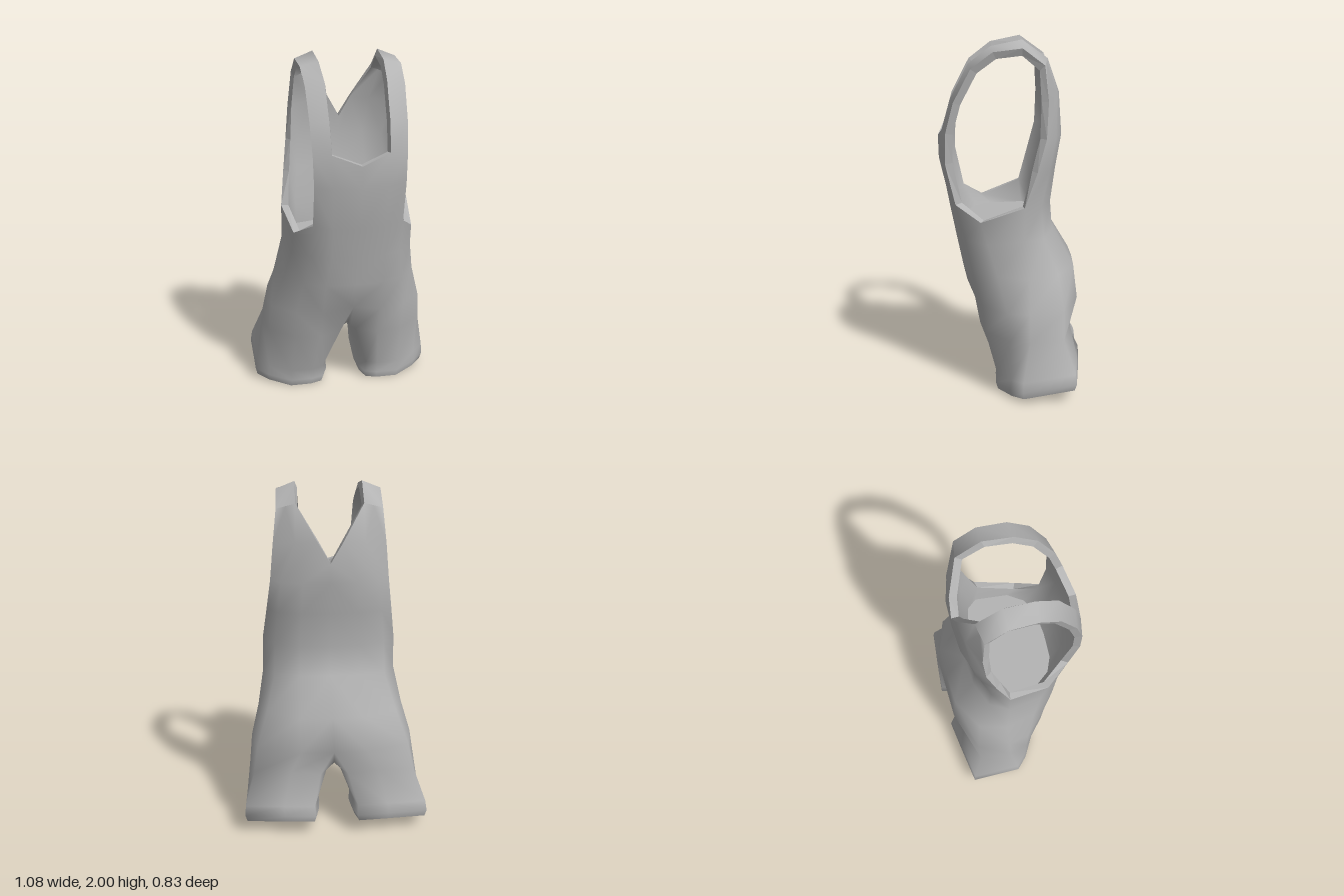
import * as THREE from 'three';
import { mergeVertices } from 'three/addons/utils/BufferGeometryUtils.js';

const fabric = new THREE.MeshStandardMaterial({ color: 0xb4b4b4, side: THREE.DoubleSide });
fabric.name = 'grey fabric';

// Triangles between successive rows of points; closed rows wrap around
function grid(rows, closed = false) {
  const tris = [];
  for (let r = 0; r + 1 < rows.length; r++) {
    const lo = rows[r], hi = rows[r + 1], n = lo.length;
    for (let i = 0; i < (closed ? n : n - 1); i++) {
      const j = (i + 1) % n;
      tris.push(lo[i], lo[j], hi[j], lo[i], hi[j], hi[i]);
    }
  }
  return tris;
}

// Mirror a half across x = 0
function mirrored(tris, smooth) {
  const pts = [...tris];
  for (let i = 0; i < tris.length; i += 3) {
    for (const k of [0, 2, 1]) {
      const [x, y, z] = tris[i + k];
      pts.push([-x, y, z]);
    }
  }
  let geo = new THREE.BufferGeometry();
  geo.setAttribute('position', new THREE.Float32BufferAttribute(pts.flat(), 3));
  if (smooth) geo = mergeVertices(geo, 1e-4);
  geo.computeVertexNormals();
  return geo;
}

// Let the legs lean slightly to one side
function lean(geo) {
  const p = geo.attributes.position;
  for (let i = 0; i < p.count; i++) {
    p.setX(i, p.getX(i) - 0.03 * Math.max(0, (0.9 - p.getY(i)) / 0.8));
  }
  return geo;
}

export function createModel() {
  // Half rings of the torso, from front centre round the side to back centre
  const thigh = [[0, .57, .255], [.17, .52, .208], [.32, .52, .165], [.45, .52, .025],
    [.47, .52, -.1], [.435, .52, -.29], [.19, .52, -.385], [0, .52, -.385]];
  const hip = [[0, .72, .285], [.17, .72, .272], [.29, .72, .22], [.385, .72, .08],
    [.42, .71, -.1], [.37, .72, -.26], [.18, .72, -.36], [0, .72, -.365]];
  const waist = [[0, .9, .32], [.15, .9, .31], [.26, .9, .26], [.35, .89, .13],
    [.38, .92, -.07], [.315, .92, -.18], [.17, .93, -.235], [0, .93, -.24]];
  const chest = [[0, 1.08, .355], [.15, 1.08, .345], [.255, 1.1, .31], [.343, 1.02, .17],
    [.378, 1.11, -.07], [.31, 1.1, -.165], [.17, 1.1, -.222], [0, 1.1, -.23]];

  // Front bib
  const bibMid = [[0, 1.32, .41], [.155, 1.33, .39], [.255, 1.33, .364]];
  const bibTop = [[0, 1.45, .413], [.16, 1.51, .383], [.26, 1.5, .36]];

  // Back panel, from arm edge to centre
  const backLow = [[.352, 1.3, -.14], [.29, 1.3, -.21], [.16, 1.3, -.25], [0, 1.3, -.26]];
  const backMid = [[.328, 1.48, -.19], [.27, 1.48, -.245], [.15, 1.48, -.282], [0, 1.48, -.288]];
  const backHigh = [[.31, 1.68, -.2], [.19, 1.7, -.255], [.07, 1.705, -.272], [0, 1.59, -.285]];
  const backTop = [[.29, 1.87, -.18], [.238, 1.885, -.19], [.185, 1.9, -.2]];

  // Strap: inner and outer edge over the shoulder
  const strap = [bibTop.slice(1),
    [[.165, 1.68, .335], [.267, 1.67, .315]],
    [[.17, 1.87, .235], [.274, 1.85, .22]],
    [[.18, 1.965, .11], [.282, 1.94, .1]],
    [[.185, 2, -.06], [.287, 1.96, -.06]],
    [backTop[2], backTop[0]]];

  // Leg rings, closed through the crotch
  const legTop = [...thigh, [0, .42, -.31], [0, .395, -.1], [0, .41, .11]];
  const legMid = [[.045, .37, .13], [.17, .36, .18], [.32, .36, .15], [.465, .36, .01],
    [.49, .36, -.1], [.465, .36, -.29], [.25, .38, -.34], [.08, .35, -.32],
    [.04, .34, -.22], [.03, .34, -.08], [.03, .35, .05]];
  const hemPlan = [[.13, .07], [.2, .09], [.33, .09], [.46, .01], [.53, -.06], [.53, -.36],
    [.3, -.39], [.12, -.41], [.1, -.28], [.09, -.12], [.1, 0]];
  const hem = (lift, s) => hemPlan.map(([x, z]) =>
    [.31 + (x - .31) * s, .057 - .17 * z + lift, -.15 + (z + .15) * s]);

  // Cloth of the upper body, which also gets a lining
  const upper = [
    [chest.slice(0, 3), bibMid, bibTop],
    [chest.slice(4), backLow, backMid, backHigh],
    [backHigh.slice(0, 3), backTop],
    strap,
  ];
  const suitGeo = mirrored([
    ...grid([hem(-.04, .95), hem(0, 1), hem(.06, .97), legMid, legTop], true),
    ...grid([thigh, hip, waist, chest]),
    ...upper.flatMap(rows => grid(rows)),
  ], true);

  // Points set inward from the cloth, along its normals
  const key = p => p.map(v => Math.round(v * 1000)).join();
  const normals = new Map();
  const pos = suitGeo.attributes.position, nor = suitGeo.attributes.normal;
  for (let i = 0; i < pos.count; i++) {
    normals.set(key([pos.getX(i), pos.getY(i), pos.getZ(i)]),
      [nor.getX(i), nor.getY(i), nor.getZ(i)]);
  }
  const inset = p => {
    const n = normals.get(key(p));
    return p.map((v, i) => v - .042 * n[i]);
  };
  const rim = (line, closed) => grid([line, line.map(inset)], closed);

  // Turned-in edges of arm holes and neckline
  const armHole = [chest[2], chest[3], chest[4], backLow[0], backMid[0], backHigh[0],
    ...strap.map(s => s[1]).reverse(), bibMid[2]];
  const neckLine = [bibTop[0], ...strap.map(s => s[0]), backHigh[2], backHigh[3]];

  // Lining down to a flat floor inside the waist
  const floor = [[0, .25], [.15, .24], [.235, .2], [.3, .11], [.325, -.08],
    [.28, -.14], [.16, -.175], [0, -.185]].map(([x, z]) => [x, .97, z]);
  const lining = [...upper, [floor, chest]].flatMap(rows => grid(rows.map(row =>
    (row === floor ? row : row.map(inset)).slice().reverse())));
  const floorSpan = grid([floor, floor.map(([, y, z]) => [0, y, z])]);

  const model = new THREE.Group();
  model.name = 'sleevelessSuit';
  const add = (name, geo) => {
    const mesh = new THREE.Mesh(geo, fabric);
    mesh.name = name;
    model.add(mesh);
  };
  add('armHoleEdges', mirrored(rim(armHole, true).reverse(), false));
  add('necklineEdge', mirrored(rim(neckLine, false), false));
  add('upperLining', mirrored(lining, true));
  add('innerFloor', mirrored(floorSpan, true));
  add('bodyAndLegs', lean(suitGeo));

  // The body is turned a little to one side
  model.rotation.y = -.087;
  model.position.x = .013;
  const root = new THREE.Group();
  root.name = 'suit';
  root.add(model);
  return root;
}
